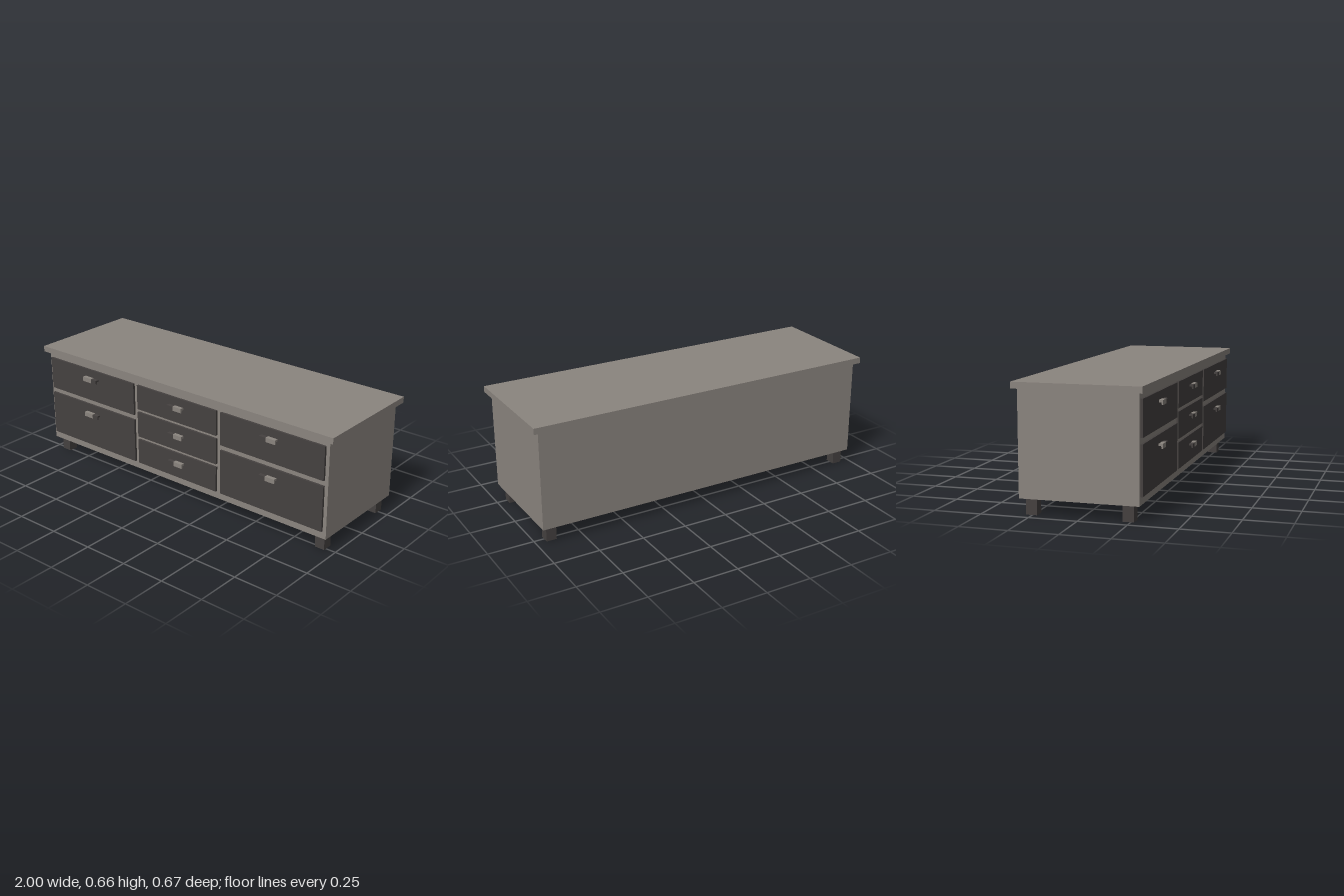
import * as THREE from 'three';

const taupe = new THREE.MeshStandardMaterial({ color: 0x8b857f });
taupe.name = 'taupe wood';
const charcoal = new THREE.MeshStandardMaterial({ color: 0x454140 });
charcoal.name = 'charcoal wood';

// Box given by its limits on each axis
function box(name, material, [x0, x1], [y0, y1], [z0, z1]) {
  const mesh = new THREE.Mesh(new THREE.BoxGeometry(x1 - x0, y1 - y0, z1 - z0), material);
  mesh.position.set((x0 + x1) / 2, (y0 + y1) / 2, (z0 + z1) / 2);
  mesh.name = name;
  return mesh;
}

// Hooked grip: side profile (outward, up) extruded from x0 to x1
function grip(name, material, x0, x1, inset) {
  const shape = new THREE.Shape([
    [0, -0.012], [0, -inset], [0.0215, -inset], [0.0215, -0.025],
    [0.0155, -0.025], [0.012, -0.012],
  ].map(([z, y]) => new THREE.Vector2(z, y)));
  const geometry = new THREE.ExtrudeGeometry(shape, { depth: x1 - x0, bevelEnabled: false });
  geometry.rotateY(-Math.PI / 2); // profile z to +z, depth to -x
  geometry.translate(x1, 0, 0);
  const mesh = new THREE.Mesh(geometry, material);
  mesh.name = name;
  return mesh;
}

// Two-tone handle; side is the x direction of the light half
function handle(x, top, side) {
  const group = new THREE.Group();
  group.name = 'handle';
  const split = side > 0 ? -0.008 : 0.012;
  const [light, dark] = side > 0
    ? [[split, 0.05], [-0.05, split]]
    : [[-0.05, split], [split, 0.05]];
  group.add(grip('handleLight', taupe, ...light, 0));
  group.add(grip('handleDark', charcoal, ...dark, 0.002));
  group.position.set(x, top, 0.3125);
  return group;
}

export function createModel() {
  const model = new THREE.Group();
  model.name = 'sideboard';

  // Cabinet and overhanging top
  model.add(box('cabinet', taupe, [-0.97, 0.97], [0.084, 0.625], [-0.31, 0.30]));
  model.add(box('top', taupe, [-1, 1], [0.625, 0.658], [-0.333, 0.323]));

  // Legs
  for (const x of [-0.919, 0.915]) {
    for (const z of [0.239, -0.254]) {
      model.add(box('leg', charcoal, [x - 0.028, x + 0.028], [0, 0.084], [z - 0.0285, z + 0.0285]));
    }
  }

  // Drawer columns: x limits, handle centre, light side, rows of [bottom, top, handle top]
  const outerRows = [[0.41, 0.595, 0.552], [0.127, 0.38, 0.335]];
  const middleRows = [[0.454, 0.595, 0.552], [0.289, 0.436, 0.389], [0.127, 0.271, 0.225]];
  const columns = [
    { x: [-0.953, -0.306], grip: -0.625, side: -1, rows: outerRows },
    { x: [-0.279, 0.276], grip: 0.005, side: 1, rows: middleRows },
    { x: [0.304, 0.95], grip: 0.62, side: 1, rows: outerRows },
  ];
  for (const column of columns) {
    for (const [bottom, top, gripTop] of column.rows) {
      model.add(box('drawerFront', charcoal, column.x, [bottom, top], [0.295, 0.3125]));
      model.add(handle(column.grip, gripTop, column.side));
    }
  }
  return model;
}
